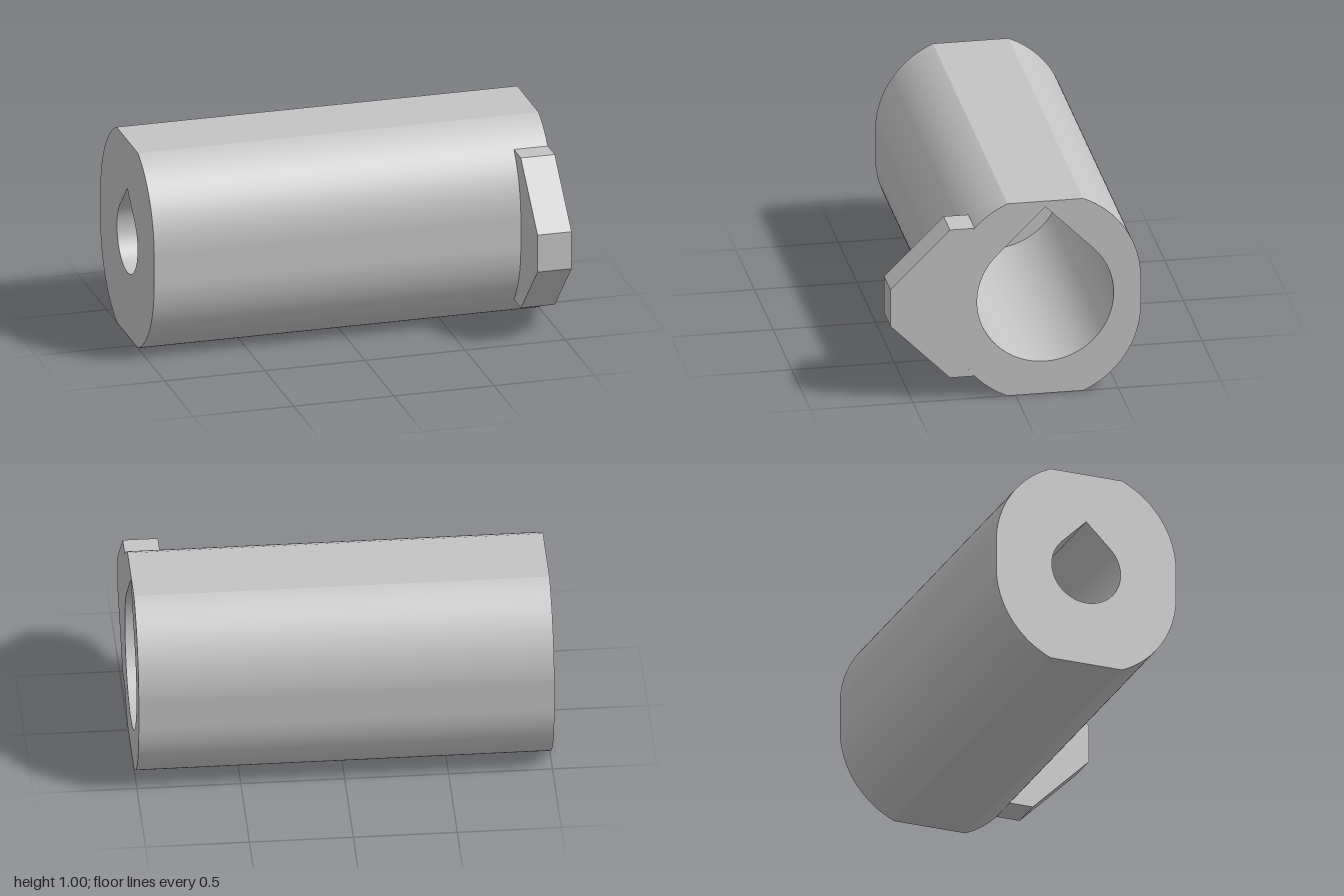
import * as THREE from 'three';
import { toCreasedNormals } from 'three/addons/utils/BufferGeometryUtils.js';

// Profiles are drawn with u = -z and v = y, then run along x.
const U = 0.145, MID = 0.5, R = 0.465, SPREAD = 0.073;
const LEFT = -1, RIGHT = 1, STEP = -0.4, TAB = 0.83;
const HI = MID + SPREAD, LO = MID - SPREAD, PI = Math.PI;

// Two stacked round ends, cut flat at the top and bottom
function bodyShape() {
  const a = Math.asin((MID - SPREAD) / R);
  const s = new THREE.Shape();
  s.absarc(U, HI, R, 0, a);
  s.absarc(U, HI, R, PI - a, PI);
  s.absarc(U, LO, R, PI, PI + a);
  s.absarc(U, LO, R, 2 * PI - a, 2 * PI);
  s.closePath();
  return s;
}

// Round hole with a 45 degree peak
function teardrop(r) {
  const s = new THREE.Shape();
  s.absarc(U, MID, r, PI * 0.75, PI * 2.25);
  s.lineTo(U, MID + r * Math.SQRT2);
  s.closePath();
  return s;
}

// Pointed lug whose inner edge follows the body
function tabShape() {
  const b = Math.acos((0.2 + U) / R);
  const s = new THREE.Shape();
  s.absarc(U, HI, R, PI - b, PI);
  s.absarc(U, LO, R, PI, PI + b);
  s.lineTo(-0.32, 0.115);
  s.lineTo(-0.61, 0.405);
  s.lineTo(-0.61, 0.595);
  s.lineTo(-0.32, 0.885);
  s.closePath();
  return s;
}

// Turn a non-indexed surface inside out
function flip(geo) {
  const p = geo.attributes.position.array;
  for (let i = 0; i < p.length; i += 9) {
    for (let k = 0; k < 3; k++) [p[i + k], p[i + 3 + k]] = [p[i + 3 + k], p[i + k]];
  }
  return geo;
}

function place(geo, x) {
  geo.rotateY(PI / 2).translate(x, 0, 0);
  return toCreasedNormals(geo, 0.3);
}

// Open-ended side walls between two x positions
function walls(shape, x0, x1, inward = false) {
  const ext = new THREE.ExtrudeGeometry(shape, { depth: x1 - x0, bevelEnabled: false, curveSegments: 28 });
  const { start, count } = ext.groups[1];
  const pos = ext.attributes.position.array.slice(start * 3, (start + count) * 3);
  const geo = new THREE.BufferGeometry();
  geo.setAttribute('position', new THREE.BufferAttribute(pos, 3));
  return place(inward ? flip(geo) : geo, x0);
}

// Flat ring with a teardrop opening
function cap(shape, holeRadius, x, facingLeft = false) {
  shape.holes.push(teardrop(holeRadius));
  const geo = new THREE.ShapeGeometry(shape, 28).toNonIndexed();
  return place(facingLeft ? flip(geo) : geo, x);
}

export function createModel() {
  const grey = new THREE.MeshStandardMaterial({ color: 0xc4c4c4 });
  grey.name = 'grey';
  const model = new THREE.Group();
  model.name = 'flangedSleeve';
  const add = (name, geo) => {
    const mesh = new THREE.Mesh(geo, grey);
    mesh.name = name;
    model.add(mesh);
  };
  const wide = 0.333, narrow = 0.178;

  // Outer sleeve and its end faces
  add('outerSleeve', walls(bodyShape(), LEFT, RIGHT));
  add('wideEnd', cap(bodyShape(), wide, RIGHT));
  add('narrowEnd', cap(bodyShape(), narrow, LEFT, true));

  // Stepped bore
  add('wideBore', walls(teardrop(wide), STEP, RIGHT, true));
  add('boreShoulder', cap(teardrop(wide), narrow, STEP));
  add('narrowBore', walls(teardrop(narrow), LEFT, STEP, true));

  // Front lug
  add('lug', place(new THREE.ExtrudeGeometry(tabShape(), {
    depth: RIGHT - TAB, bevelEnabled: false, curveSegments: 28,
  }), TAB));
  return model;
}
